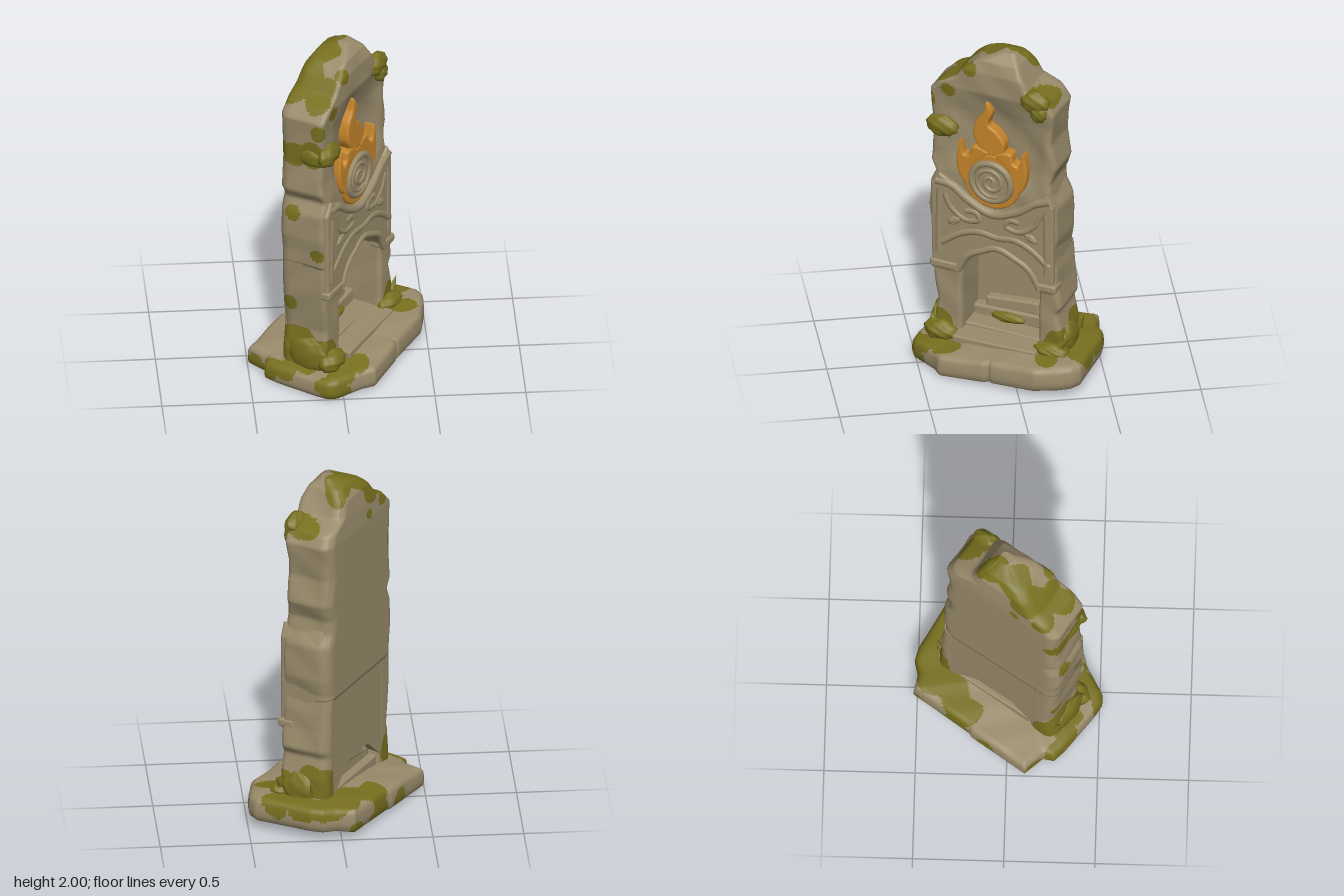
import * as THREE from 'three';
import { RoundedBoxGeometry } from 'three/addons/geometries/RoundedBoxGeometry.js';

const mat = (name, color) => Object.assign(new THREE.MeshStandardMaterial({ color }), { name });
const stone = mat('stone', 0x998b6b);
const moss = mat('moss', 0x77701f);
const flame = mat('flame orange', 0xc4842b);

// linear lookup in a table of [y, value]
function at(table, y) {
  let i = 1;
  while (i < table.length - 1 && table[i][0] < y) i++;
  const [a, b] = [table[i - 1], table[i]];
  return THREE.MathUtils.lerp(a[1], b[1], THREE.MathUtils.clamp((y - a[0]) / (b[0] - a[0]), 0, 1));
}

// moss spots: [x, y, z, radius], with wavy borders
const wave = (x, y, z) => Math.sin(x * 23 + y * 11) * Math.cos(z * 21 - y * 17);
const mossy = (spots, p) => spots.some(([x, y, z, r]) =>
  Math.hypot(p.x - x, p.y - y, p.z - z) < r * (1 + 0.22 * wave(p.x, p.y, p.z)));

// skin over closed rings of equal length; triangles within spots become moss
function skin(rings, spots) {
  const n = rings[0].length, pts = rings.flat(), plain = [], green = [];
  const tri = (...t) => {
    const c = new THREE.Vector3();
    t.forEach((i) => c.addScaledVector(pts[i], 1 / 3));
    (mossy(spots, c) ? green : plain).push(...t);
  };
  for (let i = 0; i < rings.length - 1; i++) for (let j = 0; j < n; j++) {
    const k = (j + 1) % n, a = i * n + j, b = i * n + k, c = a + n, d = b + n;
    tri(a, c, b);
    tri(b, c, d);
  }
  const g = new THREE.BufferGeometry().setFromPoints(pts);
  g.setIndex([...plain, ...green]);
  g.addGroup(0, plain.length, 0);
  g.addGroup(plain.length, green.length, 1);
  g.computeVertexNormals();
  return g;
}

// outlines of the tower, by height
const LEFT = [[.1, -.39], [.2, -.39], [.35, -.365], [.5, -.385], [.6, -.395], [.85, -.4], [.95, -.415], [1.1, -.41],
  [1.18, -.375], [1.24, -.41], [1.42, -.395], [1.62, -.405], [1.7, -.41], [1.77, -.345], [1.81, -.265], [1.88, -.215], [1.94, -.145], [2, .0]];
const RIGHT = [[.1, .39], [.3, .385], [.43, .355], [.47, .38], [.6, .36], [.7, .355], [.8, .34], [.9, .36], [1.1, .355],
  [1.17, .32], [1.25, .31], [1.35, .345], [1.5, .315], [1.7, .335], [1.77, .295], [1.82, .18], [1.88, .15], [1.95, .115], [2, .07]];
const BACK = [[0, -.15], [1.7, -.148], [1.8, -.14], [1.9, -.125], [1.96, -.09], [2, -.01]];
const FRONT = [[0, .135], [1.2, .135], [1.3, .12], [1.6, .125], [1.75, .14], [1.88, .138], [1.95, .115], [2, .06]];

// rounded rectangle rings stacked from y0 to y1, closed at both ends
function tower(y0, y1, left, right, spots) {
  const rows = Math.round((y1 - y0) / 0.0115), rings = [];
  for (let i = 0; i <= rows; i++) {
    const y = y1 - (y1 - y0) * (1 - i / rows) ** 1.4;
    const x0 = left(y), x1 = right(y), z0 = at(BACK, y), z1 = at(FRONT, y), ring = [];
    const corners = [[x0, z0], [x1, z0], [x1, z1], [x0, z1]];
    corners.forEach(([ax, az], s) => {
      const [bx, bz] = corners[(s + 1) % 4], n = s % 2 ? 26 : 52;
      for (let j = 0; j < n; j++) {
        const x = ax + (bx - ax) * j / n, z = az + (bz - az) * j / n;
        // broad rounding at the back, tight at the front
        const r = Math.min(z < (z0 + z1) / 2 ? .065 : .028, (x1 - x0) / 2.2, (z1 - z0) / 2.2);
        const ix = THREE.MathUtils.clamp(x, x0 + r, x1 - r), iz = THREE.MathUtils.clamp(z, z0 + r, z1 - r);
        const rough = s ? 0.004 * wave(x, y, z) : 0;
        const l = Math.hypot(x - ix, z - iz), k = (r + rough) / l;
        // shallow hollow behind the fire
        const dent = s === 2 && y > 1.15 && y < 1.75
          ? 0.05 * Math.sin((y - 1.15) / 0.6 * Math.PI) * Math.max(0, 1 - (x / 0.28) ** 2) : 0;
        ring.push(new THREE.Vector3(ix + (x - ix) * k, y, iz + (z - iz) * k - dent));
      }
    });
    rings.push(ring);
  }
  const cap = (ring) => {
    const c = ring.reduce((s, p) => s.addScaledVector(p, 1 / ring.length), new THREE.Vector3());
    return ring.map(() => c.clone());
  };
  return skin([cap(rings[0]), ...rings, cap(rings[rows])], spots);
}

const BASE = [[.4, -.34], [.436, -.245], [.496, -.188], [.517, -.12], [.53, .086], [.54, .21], [.511, .26], [.452, .297],
  [.321, .352], [.06, .353], [.041, .338], [.016, .358], [-.247, .373], [-.302, .325], [-.454, .244], [-.481, .203],
  [-.484, .133], [-.463, -.13], [-.445, -.212], [-.389, -.236], [-.354, -.366], [.006, -.36], [.025, -.349]];

// tilted slab: [scale, height] of each ring from underside to top
function slab(spots) {
  const edge = BASE.flatMap(([x, z], i) => {
    const [u, v] = BASE[(i + 1) % BASE.length], n = Math.max(1, Math.round(Math.hypot(u - x, v - z) / 0.013));
    return Array.from({ length: n }, (_, j) => [x + (u - x) * j / n, z + (v - z) * j / n]);
  });
  const steps = [];
  for (let s = 0; s < 0.97; s += 0.04) steps.push([s, 0]);
  steps.push([.985, .01], [1, .03], [1, .045], [1, .06], [.995, .085], [.98, .102], [.95, .11]);
  for (let s = 0.92; s > -0.01; s -= 0.04) steps.push([Math.max(0, s), .112 + .035 * (1 - s)]);
  return skin(steps.map(([s, h]) => edge.map(([x, z]) => {
    const t = x * s + 0.5;
    return new THREE.Vector3(x * s, h * (1 + 0.25 * t) + 0.055 * t + 0.004 * wave(x * s, h, z * s) * (h > 0.05), z * s);
  })), spots);
}

const v2 = (list) => list.map(([x, y]) => new THREE.Vector2(x, y));
function plate(shape, z0, z1, bevel) {
  const g = new THREE.ExtrudeGeometry(shape, { depth: z1 - z0 - 2 * bevel, bevelEnabled: bevel > 0, bevelThickness: bevel,
    bevelSize: bevel, bevelOffset: -bevel, bevelSegments: 3, curveSegments: 16 });
  return g.translate(0, 0, z0 + bevel);
}
const tube = (list, z, r) => new THREE.TubeGeometry(
  new THREE.CatmullRomCurve3(list.map(([x, y]) => new THREE.Vector3(x, y, z))), 60, r, 8);

// ragged moss clump
function clump(sx, sy, sz) {
  const g = new THREE.SphereGeometry(1, 24, 16), p = g.attributes.position, v = new THREE.Vector3();
  for (let i = 0; i < p.count; i++) {
    v.fromBufferAttribute(p, i);
    v.multiplyScalar(1 + 0.1 * Math.sin(v.x * 6 + v.y * 4) * Math.cos(v.z * 5 - v.y * 4));
    p.setXYZ(i, v.x * sx, v.y * sy, v.z * sz);
  }
  g.computeVertexNormals();
  return g;
}

export function createModel() {
  const group = new THREE.Group();
  const add = (name, geometry, material, x = 0, y = 0, z = 0) => {
    const m = new THREE.Mesh(geometry, material);
    m.name = name;
    m.position.set(x, y, z);
    group.add(m);
    return m;
  };
  const mixed = [stone, moss];

  // base slab: moss on the top and rim, then on the underside
  add('base', slab([[.08, .16, -.29, .09], [.2, .17, -.24, .1], [.3, .18, -.23, .1], [.42, .19, -.18, .1], [.49, .19, -.06, .1],
    [.46, .19, .07, .1], [.34, .18, .22, .07], [-.44, .08, -.19, .08], [-.4, .03, -.3, .075], [-.44, .1, -.08, .07],
    [-.4, .13, .04, .06], [-.47, .07, .19, .07], [-.36, .13, .22, .08], [-.26, .14, .25, .08], [.1, .07, -.36, .08],
    [-.08, .05, -.36, .06],
    [.1, .0, .18, .07], [.2, .02, .1, .09], [.29, .02, -.02, .09], [.32, .02, -.15, .08], [.36, .04, -.35, .07],
    [.2, .03, -.36, .05], [-.02, .02, -.27, .05], [-.42, 0, .27, .08], [-.37, 0, .17, .08], [-.34, 0, .05, .08], [-.3, 0, -.06, .07]]), mixed);

  // tower
  const left = (y) => at(LEFT, y), right = (y) => at(RIGHT, y);
  add('upperTower', tower(.77, 2, left, right, [[.27, 1.78, .05, .09], [.16, 1.96, -.08, .08],
    [.05, 1.98, -.06, .08], [-.07, 1.95, -.05, .1], [-.2, 1.85, -.06, .11], [-.25, 1.83, .06, .075], [-.3, 1.78, .05, .08],
    [-.17, 1.89, .12, .045], [-.3, 1.77, -.1, .07], [-.3, 1.72, .13, .045], [-.41, 1.64, .1, .045], [-.4, 1.48, .06, .08],
    [-.4, 1.47, -.06, .08], [-.38, 1.48, -.13, .06], [-.41, 1.1, -.06, .045], [-.4, .85, .09, .04], [-.13, 1.73, -.15, .03]]), mixed);
  add('leftJamb', tower(.1, .775, left, () => -.215, [[-.38, .23, -.1, .12], [-.38, .21, .02, .12],
    [-.37, .22, .12, .1], [-.39, .5, -.09, .05]]), mixed);
  add('rightJamb', tower(.1, .775, () => .245, right,
    [[.39, .26, -.07, .12], [.39, .33, -.04, .06], [.37, .22, .1, .1], [.36, .2, -.15, .09]]), mixed);

  // back wall with a broken gap at the floor
  add('backWall', plate(new THREE.Shape(v2([[-.31, .13], [-.26, .2], [-.11, .33], [.12, .33], [.26, .2], [.3, .13],
    [.29, .82], [-.32, .82]])), -.147, -.09, 0), stone);

  // mantel with pointed arch and dipped top
  const m = new THREE.Shape();
  m.moveTo(-.385, .56);
  m.lineTo(-.23, .56);
  m.bezierCurveTo(-.21, .66, -.1, .74, .01, .765);
  m.bezierCurveTo(.13, .74, .23, .66, .26, .56);
  m.lineTo(.345, .56);
  m.lineTo(.345, 1.12);
  m.lineTo(.31, 1.2);
  m.bezierCurveTo(.22, 1.14, .12, 1.02, -.02, 1.02);
  m.bezierCurveTo(-.15, 1.02, -.24, 1.14, -.345, 1.18);
  m.lineTo(-.395, 1.11);
  m.closePath();
  add('mantel', plate(m, -.1, .155, .015), stone);
  add('archMoulding', tube([[-.235, .58], [-.17, .69], [-.08, .745], [.01, .78], [.11, .745], [.2, .69], [.265, .58]], .147, .022), stone);
  add('mantelRim', tube([[-.36, 1.13], [-.27, 1.12], [-.17, 1.05], [-.02, .99], [.14, 1.05], [.23, 1.12], [.32, 1.16]], .141, .026), stone);
  add('mantelBand', tube([[-.33, .74], [-.2, .83], [-.1, .86], [.01, .85], [.11, .86], [.2, .83], [.32, .74]], .142, .024), stone);
  for (const s of [-1, 1]) {
    const side = s < 0 ? 'left' : 'right', cx = -.02;
    const scroll = [[.29, 1.06], [.25, .98], [.16, .92], [.08, .94], [.1, .98], [.16, .98]];
    add(side + 'Scroll', tube(scroll.map(([x, y]) => [cx + s * x, y]), .143, .021), stone);
    add(side + 'Trim', tube([[.325, .68], [.325, .85], [.32, 1.08]].map(([x, y]) => [cx + s * x, y]), .142, .022), stone);
    add(side + 'Leaf', clump(.045, .025, .015), stone, cx + s * .23, .9, .152).rotation.z = -s * .5;
    add(side + 'Capital', new RoundedBoxGeometry(s < 0 ? .19 : .125, .05, .1, 3, .015), stone, s < 0 ? -.3 : .3, .6, .115);
  }

  // hearth steps and rubble
  add('hearth', new RoundedBoxGeometry(.5, .05, .2, 2, .012), stone, .01, .172, .11).rotation.z = .03;
  add('hearthFloor', new RoundedBoxGeometry(.48, .06, .22, 2, .012), stone, .01, .18, -.03);
  add('rubble', new RoundedBoxGeometry(.46, .08, .07, 2, .015), stone, .01, .235, -.06).rotation.z = .04;
  add('upperRubble', new RoundedBoxGeometry(.32, .08, .06, 2, .015), stone, .01, .3, -.07).rotation.z = .1;
  add('rubbleMoss', clump(.1, .03, .03), moss, -.0, .235, -.02);

  // spiral medallion
  const X = -.03, Y = 1.2;
  const disc = (r, z0, z1) => plate(new THREE.Shape().absarc(0, 0, r, 0, Math.PI * 2), z0, z1, .012);
  add('fireDisc', disc(.172, .09, .148), flame, X, Y);
  add('medallion', disc(.137, .09, .154), stone, X, Y);
  add('medallionRim', new THREE.TorusGeometry(.117, .02, 8, 40), stone, X, Y, .148);
  const spiral = Array.from({ length: 24 }, (_, i) => {
    const a = i * .5, r = .015 + i * .0036;
    return [Math.cos(a) * r, Math.sin(a) * r];
  });
  add('spiral', tube(spiral, .15, .014), stone, X, Y);

  // flames
  const blaze = (name, list, z1) => {
    const s = new THREE.Shape();
    s.moveTo(...list[0]);
    s.splineThru(v2([...list.slice(1), list[0]]));
    add(name, plate(s, .07, z1, .014), flame);
  };
  blaze('tallFlame', [[-.08, 1.36], [-.14, 1.46], [-.13, 1.56], [-.085, 1.63], [-.065, 1.7], [-.03, 1.64], [-.05, 1.56],
    [.0, 1.52], [.045, 1.45], [.02, 1.37]], .145);
  for (const s of [-1, 1]) {
    const name = s < 0 ? 'leftFlame' : 'rightFlame';
    blaze(name, [[.14, 1.13], [.195, 1.2], [.212, 1.3], [.19, 1.42], [.165, 1.34], [.13, 1.35], [.115, 1.4], [.06, 1.4],
      [.02, 1.37], [.1, 1.29]].map(([x, y]) => [X + s * x, y]), .15);
  }

  // moss clumps
  [[-.33, 1.48, .125, .095, .065, .05], [-.38, 1.47, .05, .035, .06, .09], [.22, 1.77, .12, .09, .065, .05], [.25, 1.71, .13, .05, .06, .04],
    [-.33, .17, .14, .1, .06, .07], [-.38, .2, .03, .04, .1, .12], [.33, .2, .14, .1, .045, .06], [.38, .23, .02, .04, .1, .1]]
    .forEach(([x, y, z, a, b, c], i) => add('mossClump' + (i + 1), clump(a, b, c), moss, x, y, z));
  // pointed sprigs at the foot
  for (const [x, y, z, tilt] of [[.41, .27, .13, -.7], [.38, .28, .06, -.3], [-.4, .26, -.1, .4], [.41, .29, -.08, -.4]])
    add('mossSprig', new THREE.ConeGeometry(.025, .09, 6), moss, x, y, z).rotation.z = tilt;

  group.rotation.y = 1;
  const root = new THREE.Group();
  root.name = 'stoneFireplace';
  root.add(group);
  return root;
}
